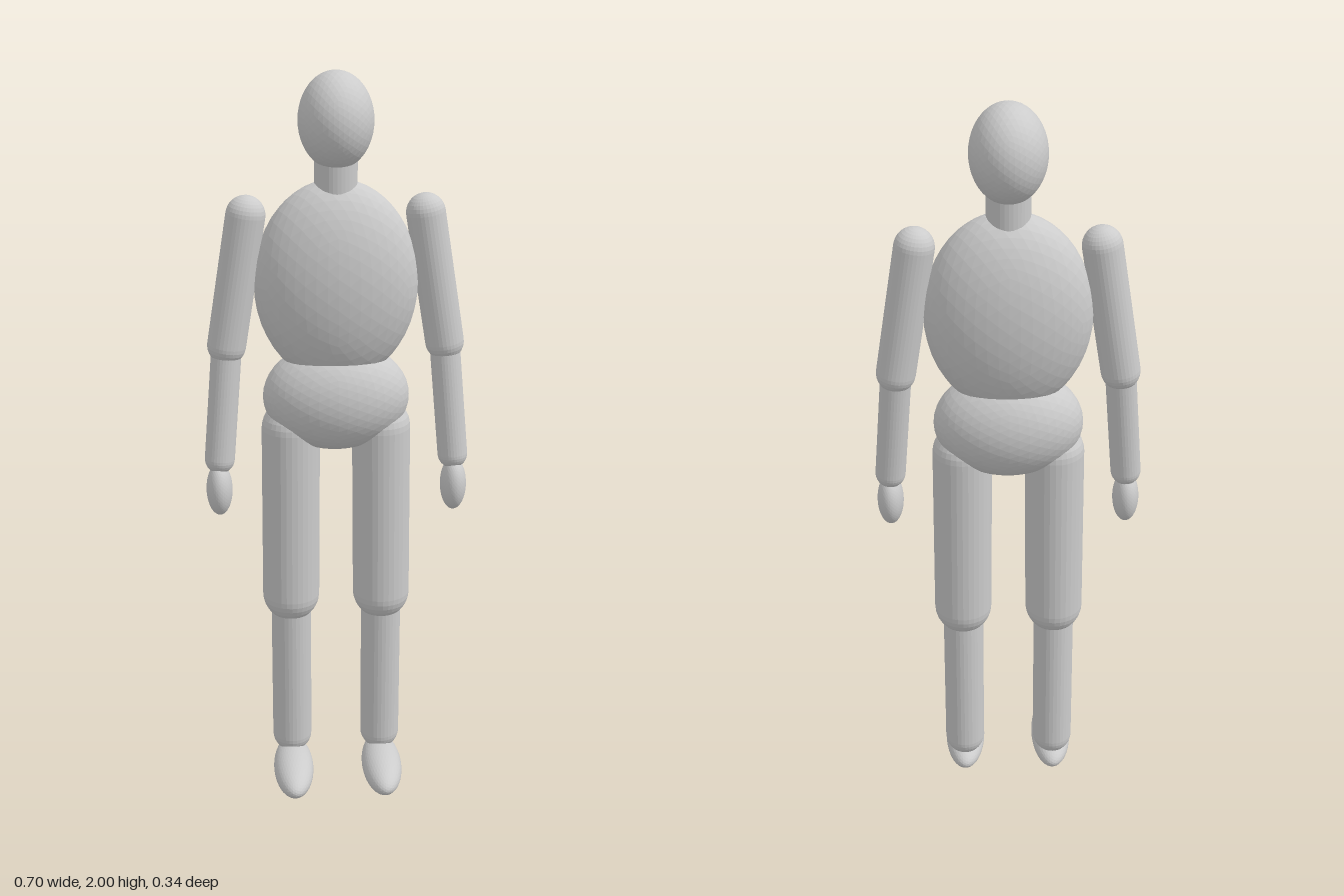
import * as THREE from 'three';

export function createModel() {
  const group = new THREE.Group();
  const material = new THREE.MeshStandardMaterial({ color: 0xcccccc, flatShading: true });
  const Z = -0.047; // depth of the body axis

  function add(name, geometry) {
    const mesh = new THREE.Mesh(geometry, material);
    mesh.name = name;
    group.add(mesh);
    return mesh;
  }

  // Faceted ball stretched to the given half sizes
  function ellipsoid(name, center, radii) {
    const mesh = add(name, new THREE.IcosahedronGeometry(1, 7));
    mesh.scale.set(...radii);
    mesh.position.set(...center);
  }

  // Round-ended limb between two joints
  function limb(name, from, to, radius) {
    const a = new THREE.Vector3(...from);
    const b = new THREE.Vector3(...to);
    const mesh = add(name, new THREE.CapsuleGeometry(radius, a.distanceTo(b), 8, 32));
    mesh.position.copy(a).lerp(b, 0.5);
    mesh.quaternion.setFromUnitVectors(new THREE.Vector3(0, 1, 0), a.sub(b).normalize());
  }

  // Head, neck and trunk
  ellipsoid('head', [0, 1.877, Z], [0.096, 0.123, 0.114]);
  const neck = add('neck', new THREE.CylinderGeometry(0.055, 0.055, 0.14, 32));
  neck.position.set(0, 1.74, Z);
  ellipsoid('torso', [0, 1.46, Z], [0.213, 0.27, 0.125]);
  ellipsoid('pelvis', [0, 1.15, Z], [0.194, 0.147, 0.125]);

  for (const [side, s] of [['left', 1], ['right', -1]]) {
    // Arm
    const elbow = [s * 0.286, 1.295, Z];
    const wrist = [s * 0.312, 0.985, -0.024];
    limb(side + 'UpperArm', [s * 0.23, 1.64, Z], elbow, 0.051);
    limb(side + 'Forearm', elbow, wrist, 0.04);
    ellipsoid(side + 'Hand', [s * 0.315, 0.9, -0.018], [0.035, 0.073, 0.05]);

    // Leg
    const knee = [s * 0.125, 0.57, Z];
    limb(side + 'Thigh', [s * 0.121, 1.06, Z], knee, 0.078);
    limb(side + 'Shin', knee, [s * 0.126, 0.115, -0.058], 0.055);
    ellipsoid(side + 'Foot', [s * 0.126, 0.047, 0.024], [0.056, 0.047, 0.146]);
  }

  return group;
}
